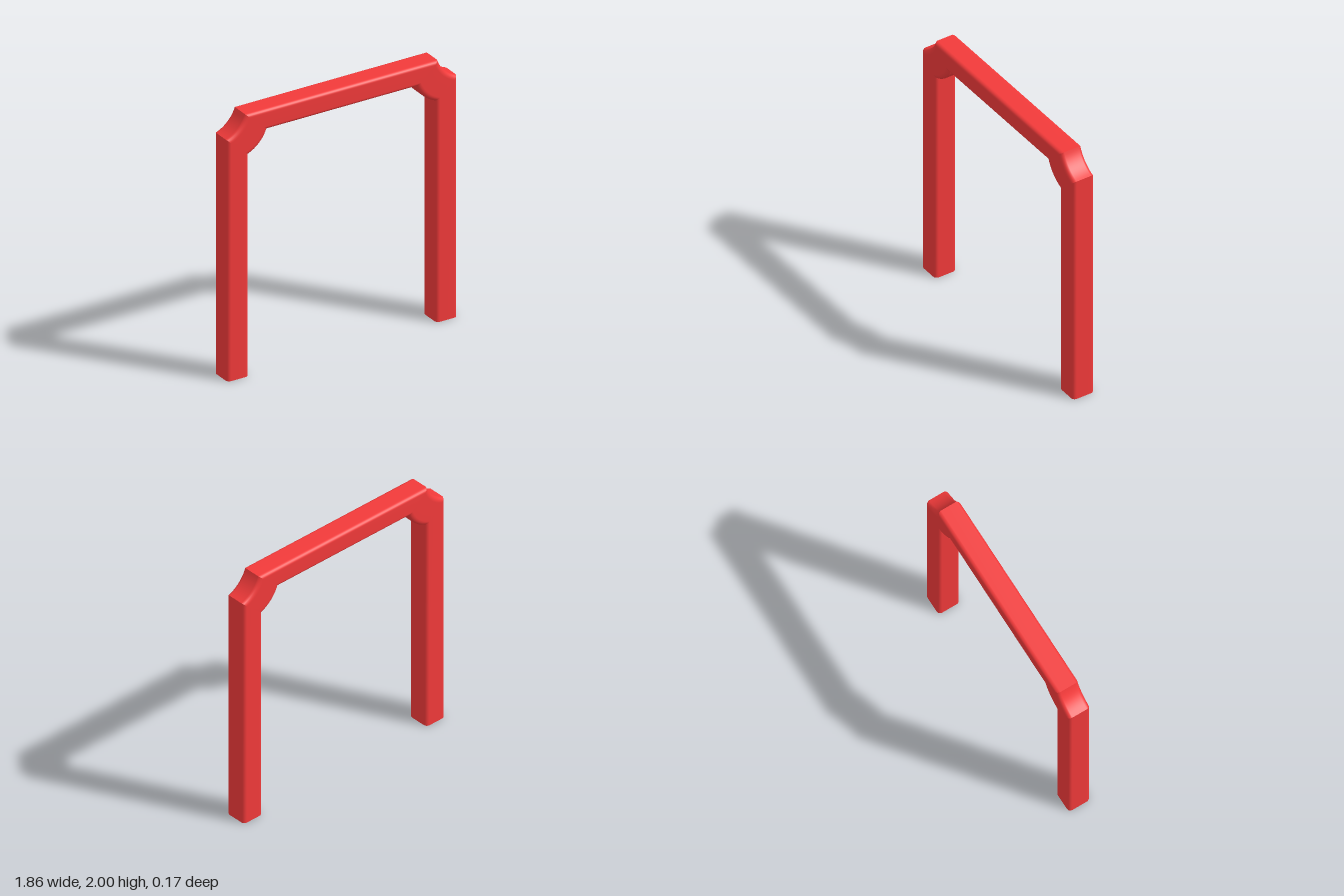
import * as THREE from 'three';

const HALF_DEPTH = 0.0865;
const ROUND = 0.028;

// Rounded-square section: u runs 0 (inner side) to 1 (outer side), z is depth.
function sectionPoints() {
  const points = [];
  const ru = ROUND / 0.17, steps = 5;
  const corners = [[1, 1], [-1, 1], [-1, -1], [1, -1]];
  corners.forEach(([su, sz], q) => {
    for (let i = 0; i <= steps; i++) {
      const a = (q + i / steps) * Math.PI / 2;
      points.push([
        0.5 + su * (0.5 - ru) + ru * Math.cos(a),
        sz * (HALF_DEPTH - ROUND) + ROUND * Math.sin(a),
      ]);
    }
  });
  return points;
}

// Open tube through stations, each given as [outer point, inner point].
function sweep(stations) {
  const section = sectionPoints(), n = section.length;
  const positions = [], index = [];
  stations.forEach(([outer, inner], k) => {
    for (const [u, z] of section) {
      const p = inner.clone().lerp(outer, u);
      positions.push(p.x, p.y, z);
    }
    if (k === 0) return;
    for (let j = 0; j < n; j++) {
      const a = (k - 1) * n + j, b = (k - 1) * n + (j + 1) % n;
      index.push(a, a + n, b, b, a + n, b + n);
    }
  });
  const geometry = new THREE.BufferGeometry();
  geometry.setAttribute('position', new THREE.Float32BufferAttribute(positions, 3));
  geometry.setIndex(index);
  geometry.computeVertexNormals();
  return geometry;
}

export function createModel() {
  const group = new THREE.Group();
  group.name = 'archFrame';
  const material = new THREE.MeshStandardMaterial({ color: 0xf23a3a, side: THREE.DoubleSide });
  const add = (name, stations) => {
    const mesh = new THREE.Mesh(sweep(stations), material);
    mesh.name = name;
    group.add(mesh);
  };
  const v = (x, y) => new THREE.Vector2(x, y);
  const mirror = (stations) =>
    stations.map(pair => pair.map(p => v(-p.x, p.y))).reverse();

  // Scooped corner: one arc on the outside, the same arc shifted for the inside.
  const start = v(0.93, 1.845), end = v(0.778, 2);
  const middle = start.clone().add(end).multiplyScalar(0.5);
  const centre = middle.clone().add(v(0.163, 0.163));
  const a0 = Math.atan2(start.y - centre.y, start.x - centre.x) + Math.PI * 2;
  const a1 = Math.atan2(end.y - centre.y, end.x - centre.x) + Math.PI * 2;
  const radius = centre.distanceTo(start);
  const corner = [];
  for (let i = 0; i <= 12; i++) {
    const a = a0 + (a1 - a0) * i / 12;
    const p = v(centre.x + radius * Math.cos(a), centre.y + radius * Math.sin(a));
    corner.push([p, p.clone().sub(v(0.171, 0.153))]);
  }

  // Legs are open at the foot.
  const leg = [[v(0.93, 0), v(0.759, 0)], corner[0]];
  const beamEnd = corner[corner.length - 1];

  add('leftLeg', leg);
  add('leftCorner', corner);
  add('topBeam', [beamEnd, ...mirror([beamEnd])]);
  add('rightCorner', mirror(corner));
  add('rightLeg', mirror(leg));
  return group;
}
